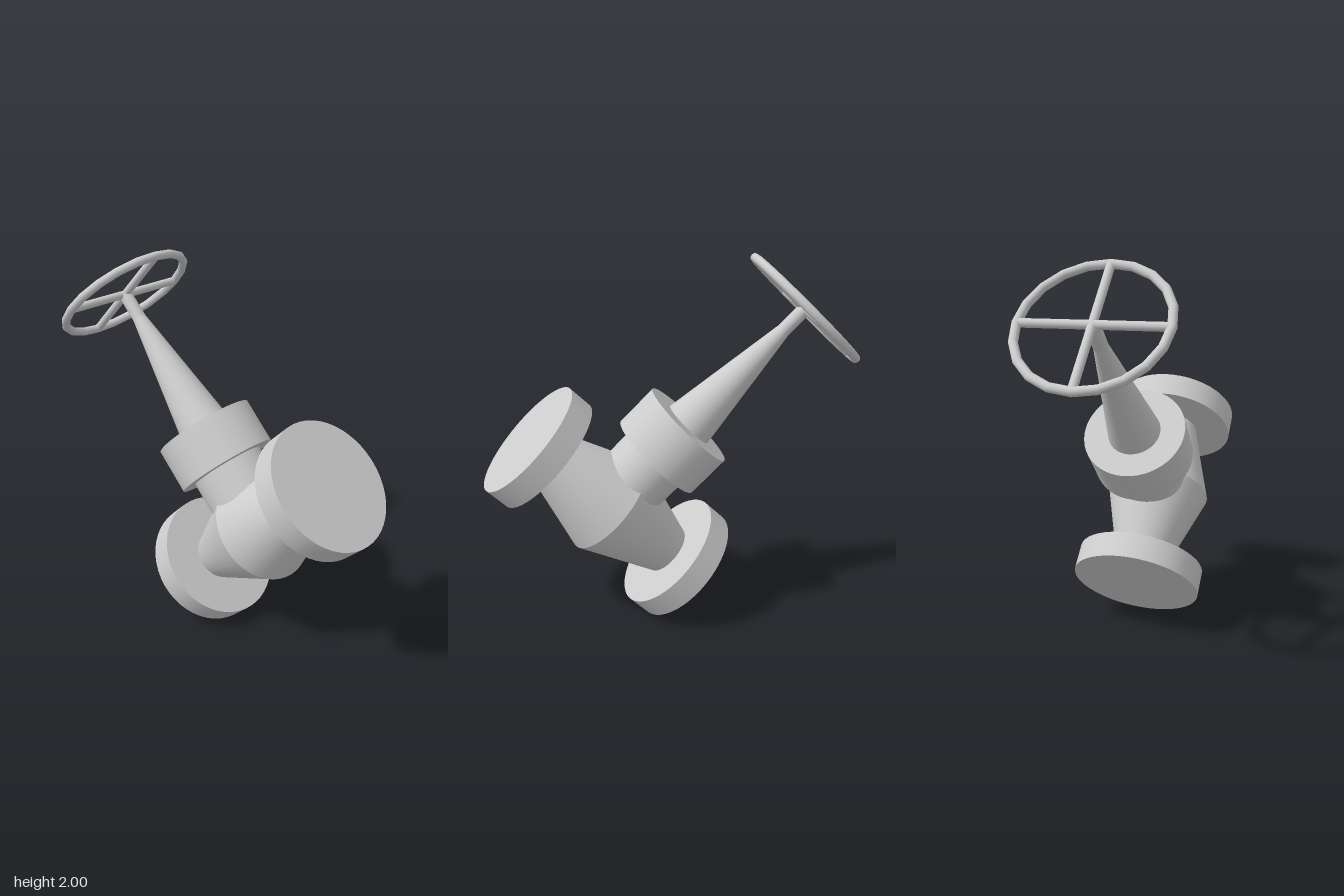
import * as THREE from 'three';

export function createModel() {
  const model = new THREE.Group();
  model.name = 'valve';
  const material = new THREE.MeshStandardMaterial({ color: 0xcccccc });

  // Tilted frame: local x runs along the pipe, local y along the stem
  const valve = new THREE.Group();
  valve.name = 'tiltedValve';
  valve.position.set(0.336, 0.665, 0);
  valve.rotation.z = Math.PI / 4;
  model.add(valve);

  const add = (name, geometry) => {
    const mesh = new THREE.Mesh(geometry, material);
    mesh.name = name;
    valve.add(mesh);
    return mesh;
  };

  // Round section from a to b along the stem (y) or the pipe (x)
  const round = (name, a, b, ra, rb, axis = 'y', open = false, sides = 48) => {
    const g = new THREE.CylinderGeometry(rb, ra, b - a, sides, 1, open);
    g.translate(0, (a + b) / 2, 0);
    if (axis === 'x') g.rotateZ(-Math.PI / 2);
    if (axis === 'z') g.rotateX(Math.PI / 2);
    return add(name, g);
  };

  // Double-cone body with an end flange on each side
  const flangeIn = 0.452, flangeOut = 0.592;
  round('lowerBody', -flangeIn, 0, 0.143, 0.293, 'x', true);
  round('upperBody', 0, flangeIn, 0.293, 0.143, 'x', true);
  round('lowerFlange', -flangeOut, -flangeIn, 0.345, 0.345, 'x');
  round('upperFlange', flangeIn, flangeOut, 0.345, 0.345, 'x');

  // Neck, collar, tapered bonnet and stem
  round('neck', 0, 0.38, 0.2, 0.2);
  round('collar', 0.377, 0.624, 0.273, 0.273);
  round('bonnet', 0.62, 1.33, 0.142, 0.037);
  round('stem', 1.33, 1.487, 0.037, 0.037, 'y', false, 24);

  // Handwheel with two crossing spokes
  const rim = new THREE.TorusGeometry(0.371, 0.023, 12, 20);
  rim.rotateX(Math.PI / 2);
  add('handwheelRim', rim).position.y = 1.487;
  for (const axis of ['x', 'z']) {
    round('handwheelSpoke', -0.371, 0.371, 0.022, 0.022, axis, false, 16).position.y = 1.487;
  }

  return model;
}
